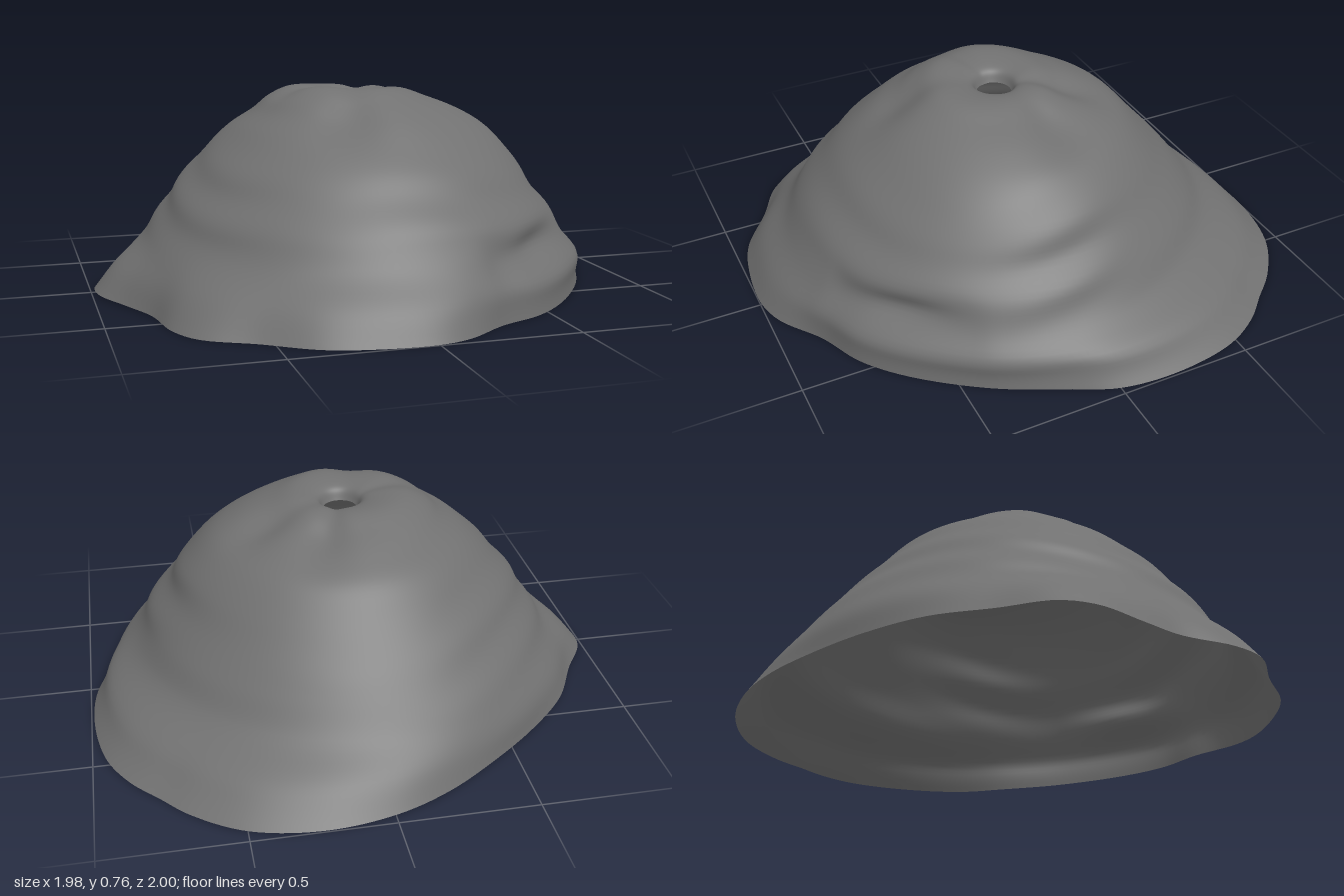
import * as THREE from 'three';

const HOLE = { x: 0.005, z: 0.025, r: 0.066 };

// Wavy hem of the shell, seen from above, as x, z pairs
const HEM = [
  [0.97, 0], [0.99, -0.22], [0.95, -0.47], [0.87, -0.62], [0.78, -0.72], [0.68, -0.83],
  [0.5, -0.95], [0.25, -1], [0, -0.97], [-0.2, -0.89], [-0.4, -0.76], [-0.6, -0.6],
  [-0.77, -0.42], [-0.88, -0.22], [-0.98, -0.05], [-0.98, 0.08], [-0.9, 0.25], [-0.83, 0.4],
  [-0.79, 0.6], [-0.72, 0.72], [-0.55, 0.82], [-0.37, 0.94], [-0.2, 0.985], [0, 0.995],
  [0.12, 0.96], [0.28, 0.85], [0.45, 0.77], [0.6, 0.64], [0.78, 0.4], [0.9, 0.16],
];

// Dome radius by height: [y, +x, +z, -x, -z]
const DOME = [
  [0.2, 0.8, 0.825, 0.8, 0.82], [0.3, 0.74, 0.765, 0.735, 0.74], [0.4, 0.66, 0.68, 0.665, 0.655],
  [0.5, 0.6, 0.59, 0.58, 0.565], [0.6, 0.5, 0.475, 0.475, 0.475], [0.66, 0.4, 0.395, 0.385, 0.375],
  [0.71, 0.28, 0.31, 0.325, 0.27], [0.743, 0.18, 0.23, 0.24, 0.18],
];

// Valleys running out from the hole: [angle, depth, radius, angular width]
const VALLEYS = [
  [-0.3, 0.03, 0.32, 0.3], [-1.2, 0.03, 0.26, 0.28],
  [1.9, 0.038, 0.36, 0.3], [2.9, 0.012, 0.24, 0.22],
];

const bell = (d, w) => Math.exp(-(d * d) / (w * w));
const turn = (a, b) => Math.atan2(Math.sin(a - b), Math.cos(a - b));

// Section curve from the hem up to the hole at one angle
function meridian(a, hemR) {
  const c = Math.cos(a), s = Math.sin(a);
  const lift = 0.02 * Math.max(0, Math.cos(a + 0.75 * Math.PI)) ** 2;
  const rows = DOME.map(([y, px, pz, nx, nz]) => {
    const r = c * c * (c > 0 ? px : nx) + s * s * (s > 0 ? pz : nz);
    return new THREE.Vector3(Math.min(r, hemR - 0.3 * (y - 0.02)), y, 0);
  });
  const skirt = (rows[0].x + hemR) / 2 + 0.015;
  return new THREE.CatmullRomCurve3([
    new THREE.Vector3(hemR, lift, 0),
    new THREE.Vector3(skirt, 0.1 + lift / 2, 0),
    ...rows,
    new THREE.Vector3(0.115, 0.738, 0),
    new THREE.Vector3(0.083, 0.722, 0),
    new THREE.Vector3(HOLE.r, 0.685, 0),
  ]);
}

function shellGeometry(around = 180, rings = 72) {
  const hem = new THREE.CatmullRomCurve3(HEM.map(([x, z]) => new THREE.Vector3(x, 0, z)), true);
  const pos = [], index = [];
  for (let i = 0; i < around; i++) {
    const p = hem.getPointAt(i / around);
    const a = Math.atan2(p.z - HOLE.z, p.x - HOLE.x);
    const curve = meridian(a, Math.hypot(p.x - HOLE.x, p.z - HOLE.z));
    const patchy = 0.55 + 0.45 * Math.sin(2 * a + 1.1 + Math.sin(3 * a));
    for (let j = 0; j <= rings; j++) {
      const q = curve.getPoint(j / rings);
      let r = q.x, y = q.y;
      // soft broken folds on the flanks
      const flank = patchy * bell(y - 0.36, 0.18);
      r += 0.007 * flank * Math.sin(y * 40 + 2.2 * Math.sin(a + 0.6) + 1.4 * Math.sin(3 * a));
      // low swelling of the skirt on the left
      r += 0.02 * bell(y - 0.11, 0.045) * Math.max(0, Math.cos(a));
      // slanting hollow under a fold at the front left
      const off = turn(a, 0.9);
      r -= 0.05 * bell(off, 0.3) * bell(y - 0.21 + 0.06 * off, 0.06);
      // crown slightly higher towards the front right
      y += 0.01 * Math.cos(a - 2.4) * bell(r - 0.22, 0.11);
      // valleys around the crown
      for (const [va, depth, vr, w] of VALLEYS) {
        y -= depth * bell(turn(a, va), w) * bell(r - vr, 0.13);
      }
      pos.push(HOLE.x + r * Math.cos(a), Math.max(0, y), HOLE.z + r * Math.sin(a));
      if (j < rings) {
        const m = rings + 1, n = ((i + 1) % around) * m + j, k = i * m + j;
        index.push(k, n, k + 1, n, n + 1, k + 1);
      }
    }
  }
  const g = new THREE.BufferGeometry();
  g.setAttribute('position', new THREE.Float32BufferAttribute(pos, 3));
  // the hem runs from +x towards -z, so these triangles face outward
  g.setIndex(index);
  g.computeVertexNormals();
  return g;
}

export function createModel() {
  const model = new THREE.Group();
  model.name = 'drapedDome';
  const material = new THREE.MeshStandardMaterial({ color: 0x717171, side: THREE.DoubleSide });
  const shell = new THREE.Mesh(shellGeometry(), material);
  shell.name = 'shell';
  model.add(shell);
  return model;
}
